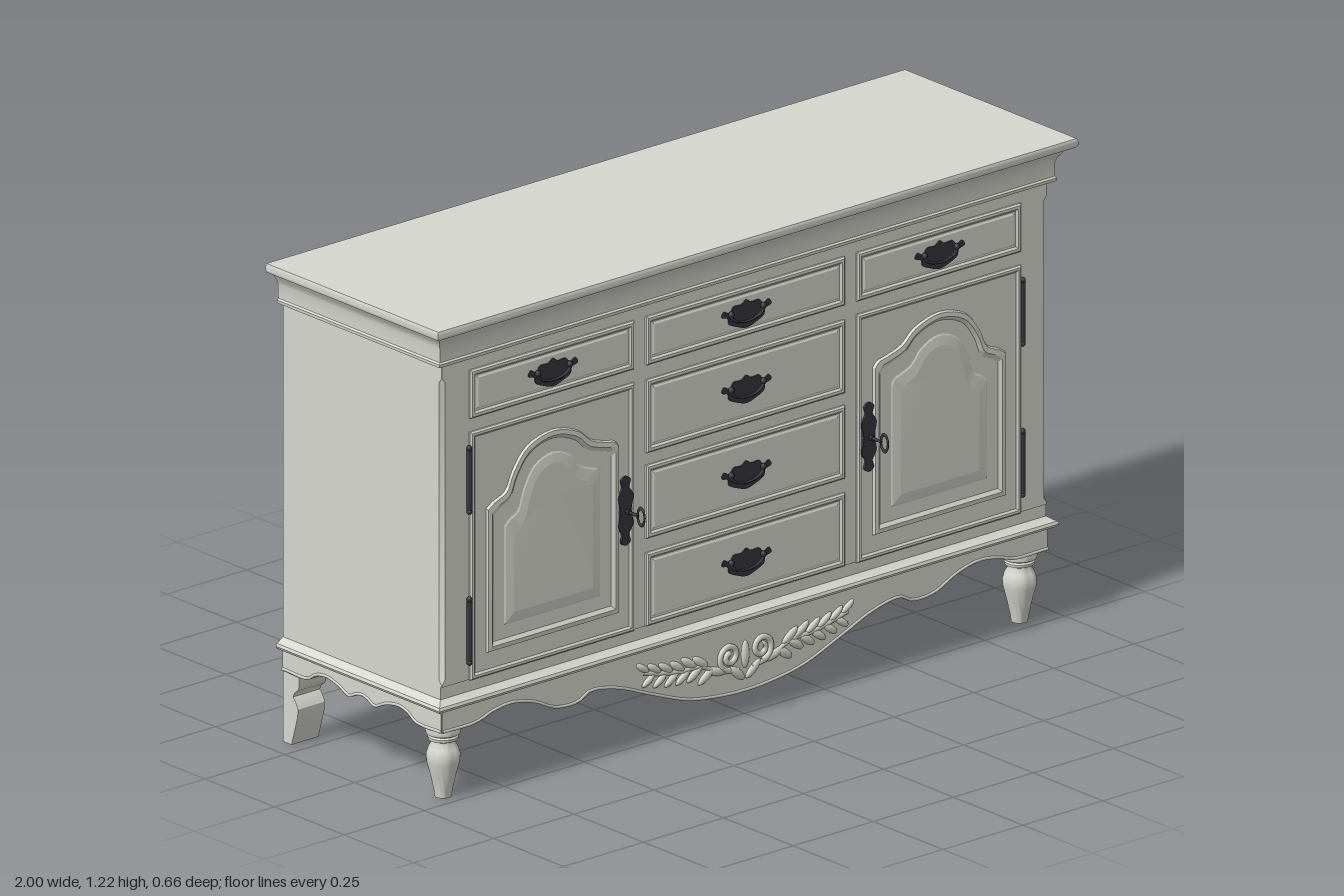
import * as THREE from 'three';
import { toCreasedNormals } from 'three/addons/utils/BufferGeometryUtils.js';

const paint = new THREE.MeshStandardMaterial({ color: 0xd6d7ce });
paint.name = 'greyPaint';
const iron = new THREE.MeshStandardMaterial({ color: 0x35363c });
iron.name = 'darkIron';

const HX = 0.95, FRONT = 0.25, BACK = -0.32;

function add(parent, name, geometry, material = paint, x = 0, y = 0, z = 0) {
  const mesh = new THREE.Mesh(geometry, material);
  mesh.name = name;
  mesh.position.set(x, y, z);
  parent.add(mesh);
  return mesh;
}

// Skin closed rings of [x, y, z], optionally capping both ends
function loft(rings, crease = 0.5, capped = true) {
  const pos = [];
  const tri = (...p) => p.forEach(v => pos.push(...v));
  const centre = ring => [0, 1, 2].map(k => ring.reduce((s, p) => s + p[k], 0) / ring.length);
  const first = rings[0], last = rings[rings.length - 1], n = first.length;
  const c0 = centre(first), c1 = centre(last);
  for (let i = 0; i < n; i++) {
    const k = (i + 1) % n;
    for (let j = 0; j + 1 < rings.length; j++) {
      const a = rings[j], b = rings[j + 1];
      tri(a[i], a[k], b[k]);
      tri(a[i], b[k], b[i]);
    }
    if (capped) {
      tri(c0, first[k], first[i]);
      tri(c1, last[i], last[k]);
    }
  }
  const g = new THREE.BufferGeometry();
  g.setAttribute('position', new THREE.Float32BufferAttribute(pos, 3));
  return toCreasedNormals(g, crease);
}

const rectXZ = (x0, x1, z0, z1, y) => [[x0, y, z1], [x1, y, z1], [x1, y, z0], [x0, y, z0]];

// Moulding that runs round the front and sides, flush at the back: [projection, y]
const moulding = (profile, capped) =>
  loft(profile.map(([d, y]) => rectXZ(-HX - d, HX + d, BACK, FRONT + d, y)), 0.5, capped);

// Rectangular front with stepped moulding: [inset, z]
function panelGeometry(w, h, profile) {
  return loft(profile.map(([i, z]) => {
    const a = w / 2 - i, b = h / 2 - i;
    return [[-a, -b, z], [a, -b, z], [a, b, z], [-a, b, z]];
  }), 0.1);
}

const spline = (pts, n, closed = false) =>
  new THREE.CatmullRomCurve3(pts.map(([x, y]) => new THREE.Vector3(x, y, 0)), closed, 'centripetal').getPoints(n);
const mirrorX = half => [...half.map(([x, y]) => [-x, y]), ...half.slice(0, -1).reverse()];

// Door panel outline: arch with a low outer and a high inner shoulder
const ARCH = spline([[1, 0], [0.9, 0.09], [0.72, 0.2], [0.6, 0.52], [0.38, 0.86], [0, 1],
  [-0.38, 0.86], [-0.58, 0.64], [-0.8, 0.54], [-0.94, 0.49], [-1, 0.4]], 40);
function archRing(side, inset, z) {
  const w = 0.208 - inset, y0 = 0.35 + inset, ys = 0.715 - inset, yp = 0.865 - inset;
  const ring = [[-w, y0, z], [w, y0, z], ...ARCH.map(p => [p.x * w, ys + p.y * (yp - ys), z])];
  return side > 0 ? ring : ring.map(([x, y]) => [-x, y, z]).reverse();
}

// Scalloped rail with a bead along its lower edge
function makeApron(name, half, top) {
  const g = new THREE.Group();
  g.name = name;
  const edge = spline(mirrorX(half), 96), w = half[0][0];
  const shape = new THREE.Shape([...edge.map(p => new THREE.Vector2(p.x, p.y)),
    new THREE.Vector2(w, top), new THREE.Vector2(-w, top)]);
  const board = new THREE.ExtrudeGeometry(shape, { depth: 0.022, bevelEnabled: false });
  add(g, name + 'Board', toCreasedNormals(board, 0.6), paint, 0, 0, -0.022);
  const bead = new THREE.CatmullRomCurve3(edge.map(p => new THREE.Vector3(p.x, p.y + 0.004, 0)));
  add(g, name + 'Bead', new THREE.TubeGeometry(bead, 120, 0.004, 6));
  return g;
}

// Thin ornamental metal plate, mirrored left to right
function plateGeometry(half) {
  const full = [...mirrorX(half).slice(0, -1), half[0]];
  if (half[0][0] === 0) full.pop();
  const shape = new THREE.Shape(spline(full, 72, true).map(p => new THREE.Vector2(p.x, p.y)));
  return toCreasedNormals(new THREE.ExtrudeGeometry(shape, { depth: 0.006, bevelEnabled: false }), 0.6);
}

const PULL = plateGeometry([[0, 0.034], [0.015, 0.025], [0.04, 0.025], [0.052, 0.012], [0.07, 0.019], [0.077, 0.006],
  [0.058, -0.001], [0.054, -0.016], [0.03, -0.028], [0, -0.036]]);
function makePull(x, y) {
  const g = new THREE.Group();
  g.name = 'drawerPull';
  add(g, 'pullPlate', PULL, iron, 0, 0, 0.253);
  const bail = add(g, 'pullBail', new THREE.TorusGeometry(0.05, 0.005, 6, 20, Math.PI), iron, 0, 0.006, 0.261);
  bail.rotation.z = Math.PI;
  bail.scale.y = 0.5;
  for (const s of [-1, 1]) add(g, 'pullPost', new THREE.SphereGeometry(0.008, 10, 8), iron, s * 0.05, 0.008, 0.26);
  g.position.set(x, y, 0);
  return g;
}

const KEYPLATE = plateGeometry([[0, 0.087], [0.014, 0.078], [0.01, 0.058], [0.023, 0.038], [0.017, 0],
  [0.023, -0.038], [0.01, -0.058], [0.014, -0.078], [0, -0.087]]);
function makeLock(x) {
  const g = new THREE.Group();
  g.name = 'doorLock';
  add(g, 'keyPlate', KEYPLATE, iron, 0, 0, 0.256);
  add(g, 'keyStem', new THREE.CylinderGeometry(0.004, 0.004, 0.05, 8), iron, 0, 0, 0.28).rotation.x = Math.PI / 2;
  add(g, 'keyCollar', new THREE.CylinderGeometry(0.007, 0.007, 0.008, 10), iron, 0, 0, 0.272).rotation.x = Math.PI / 2;
  const bow = add(g, 'keyBow', new THREE.TorusGeometry(0.021, 0.005, 8, 20), iron, 0, 0, 0.316);
  bow.rotation.y = Math.PI / 2;
  bow.scale.set(0.6, 1, 0.5);
  g.position.set(x, 0.605, 0);
  return g;
}

// One half of the carved leaf spray
function makeSpray(s) {
  const g = new THREE.Group();
  g.name = 'carvedSpray';
  const stem = new THREE.CatmullRomCurve3([[0.02, 0.115], [0.08, 0.125], [0.14, 0.152], [0.2, 0.155], [0.26, 0.165], [0.32, 0.18]]
    .map(([x, y]) => new THREE.Vector3(s * x, y, 0.252)));
  add(g, 'stem', new THREE.TubeGeometry(stem, 40, 0.006, 6));
  const scroll = [];
  for (let i = 0; i <= 24; i++) {
    const a = i / 24 * Math.PI * 3 - Math.PI / 2, r = 0.034 * (1 - i / 30);
    scroll.push(new THREE.Vector3(s * (0.05 + r * Math.cos(a)), 0.156 + r * Math.sin(a), 0.253));
  }
  add(g, 'scroll', new THREE.TubeGeometry(new THREE.CatmullRomCurve3(scroll), 60, 0.008, 6));
  const addLeaf = (x, y, angle, size) => {
    const leaf = add(g, 'leaf', new THREE.SphereGeometry(1, 12, 8), paint, x, y, 0.252);
    leaf.scale.set(0.03 * size, 0.011 * size, 0.008);
    leaf.rotation.z = s * angle;
  };
  for (let i = 0; i < 12; i++) {
    const p = stem.getPoint(0.3 + i * 0.06), up = i % 2 ? 1 : -1;
    addLeaf(p.x + s * 0.012, p.y + up * 0.015, up * 0.6, 1 - i * 0.02);
  }
  addLeaf(s * 0.025, 0.108, 0.7, 1);
  addLeaf(s * 0.09, 0.128, 0.3, 1);
  return g;
}

export function createModel() {
  const model = new THREE.Group();
  model.name = 'sideboard';

  // Carcass with stopped chamfers on the front corners
  const ring = (y, c) => [[-HX + 0.005 + c, y, FRONT], [HX - 0.005 - c, y, FRONT], [HX - 0.005, y, FRONT - c],
    [HX - 0.005, y, BACK], [-HX + 0.005, y, BACK], [-HX + 0.005, y, FRONT - c]];
  add(model, 'carcass', loft([ring(0.295, 0.001), ring(0.3, 0.001), ring(0.312, 0.01),
    ring(1.06, 0.01), ring(1.072, 0.001), ring(1.12, 0.001)]));

  // Top, cornice and hollow base moulding
  add(model, 'topAndCornice', moulding([[0, 1.105], [0.013, 1.107], [0.014, 1.115], [0.01, 1.119], [0.011, 1.155],
    [0.014, 1.165], [0.021, 1.175], [0.027, 1.185], [0.037, 1.188], [0.047, 1.193], [0.05, 1.2], [0.05, 1.208], [0.047, 1.215]], true));
  add(model, 'baseMoulding', moulding([[-0.025, 0.31], [-0.025, 0.237], [0, 0.237], [0.014, 0.238], [0.018, 0.245],
    [0.015, 0.252], [0.007, 0.256], [-0.004, 0.264], [-0.004, 0.3]], false));

  // Aprons and lower back rail
  const front = makeApron('frontApron', [[0.945, 0.18], [0.84, 0.181], [0.79, 0.196], [0.73, 0.203], [0.66, 0.188],
    [0.59, 0.157], [0.52, 0.155], [0.485, 0.172], [0.4, 0.159], [0.3, 0.12], [0.18, 0.076], [0.08, 0.06], [0, 0.056]], 0.24);
  front.position.z = 0.252;
  model.add(front);
  for (const s of [-1, 1]) {
    const side = makeApron('sideApron', [[0.285, 0.18], [0.195, 0.181], [0.165, 0.198], [0.13, 0.205], [0.085, 0.196],
      [0.045, 0.18], [0.02, 0.191], [0, 0.195]], 0.24);
    side.rotation.y = s * Math.PI / 2;
    side.position.set(s * 0.947, 0, -0.035);
    model.add(side);
  }
  add(model, 'backRail', new THREE.BoxGeometry(1.89, 0.12, 0.02), paint, 0, 0.24, BACK + 0.01);

  // Turned front legs and bracket back legs
  const turned = [[0, 0], [0.02, 0], [0.023, 0.02], [0.032, 0.06], [0.04, 0.09], [0.041, 0.107], [0.036, 0.124], [0.029, 0.136],
    [0.029, 0.142], [0.036, 0.145], [0.037, 0.152], [0.033, 0.156], [0.041, 0.16], [0.043, 0.168], [0.041, 0.178], [0.034, 0.182], [0.034, 0.3]];
  const legGeo = toCreasedNormals(new THREE.LatheGeometry(turned.map(p => new THREE.Vector2(...p)), 28), 0.7);
  const bracket = [[0, 0.03], [0.04, 0.042], [0.075, 0.052], [0.095, 0.054], [0.11, 0.046], [0.122, 0.036], [0.132, 0.04],
    [0.142, 0.053], [0.15, 0.057], [0.3, 0.057]];
  const backLegGeo = loft(bracket.map(([y, d]) => rectXZ(-0.042, 0.042, BACK, BACK + d, y)));
  for (const s of [-1, 1]) {
    add(model, 'frontLeg', legGeo, paint, s * 0.9, 0, 0.203);
    add(model, 'backLeg', backLegGeo, paint, s * 0.903);
  }

  // Drawers: x, y, width, height
  const edge = [[0, 0.245], [0, 0.254], [0.004, 0.258], [0.011, 0.258], [0.016, 0.2535], [0.02, 0.2535], [0.024, 0.2555]];
  const drawers = [[-0.604, 1.013, 0.512, 0.122], [0.604, 1.013, 0.512, 0.122], [0, 1.013, 0.62, 0.122],
    [0, 0.823, 0.62, 0.184], [0, 0.608, 0.62, 0.184], [0, 0.388, 0.62, 0.184]];
  for (const [x, y, w, h] of drawers) {
    add(model, 'drawerFront', panelGeometry(w, h, edge), paint, x, y);
    model.add(makePull(x, y - 0.004));
  }

  // Doors with arched panels, locks and hinges
  const doorEdge = [[0, 0.245], [0, 0.254], [0.004, 0.258], [0.01, 0.258], [0.015, 0.2535]];
  const arch = [[0, 0.25], [0.004, 0.26], [0.015, 0.261], [0.024, 0.254], [0.058, 0.254], [0.062, 0.256], [0.085, 0.259]];
  for (const s of [-1, 1]) {
    add(model, 'door', panelGeometry(0.512, 0.624, doorEdge), paint, s * 0.604, 0.606);
    add(model, 'archedDoorPanel', loft(arch.map(([i, z]) => archRing(s, i, z)), 0.1), paint, s * 0.604);
    model.add(makeLock(s * 0.38));
    for (const y of [0.8, 0.42]) {
      add(model, 'hinge', new THREE.CylinderGeometry(0.007, 0.007, 0.15, 10), iron, s * 0.864, y, 0.256);
      for (const e of [-1, 1]) add(model, 'hingeFinial', new THREE.SphereGeometry(0.007, 10, 8), iron, s * 0.864, y + e * 0.08, 0.256);
    }
    model.add(makeSpray(s));

    // Hanging brackets on the back
    add(model, 'wallBracket', new THREE.BoxGeometry(0.03, 0.036, 0.008), paint, s * 0.72, 1.167, BACK - 0.004);
    add(model, 'wallBracketSlot', new THREE.BoxGeometry(0.008, 0.02, 0.002), iron, s * 0.72, 1.162, BACK - 0.008);
  }
  const bud = add(model, 'carvedBud', new THREE.SphereGeometry(1, 14, 10), paint, 0, 0.15, 0.252);
  bud.scale.set(0.012, 0.035, 0.009);
  return model;
}
